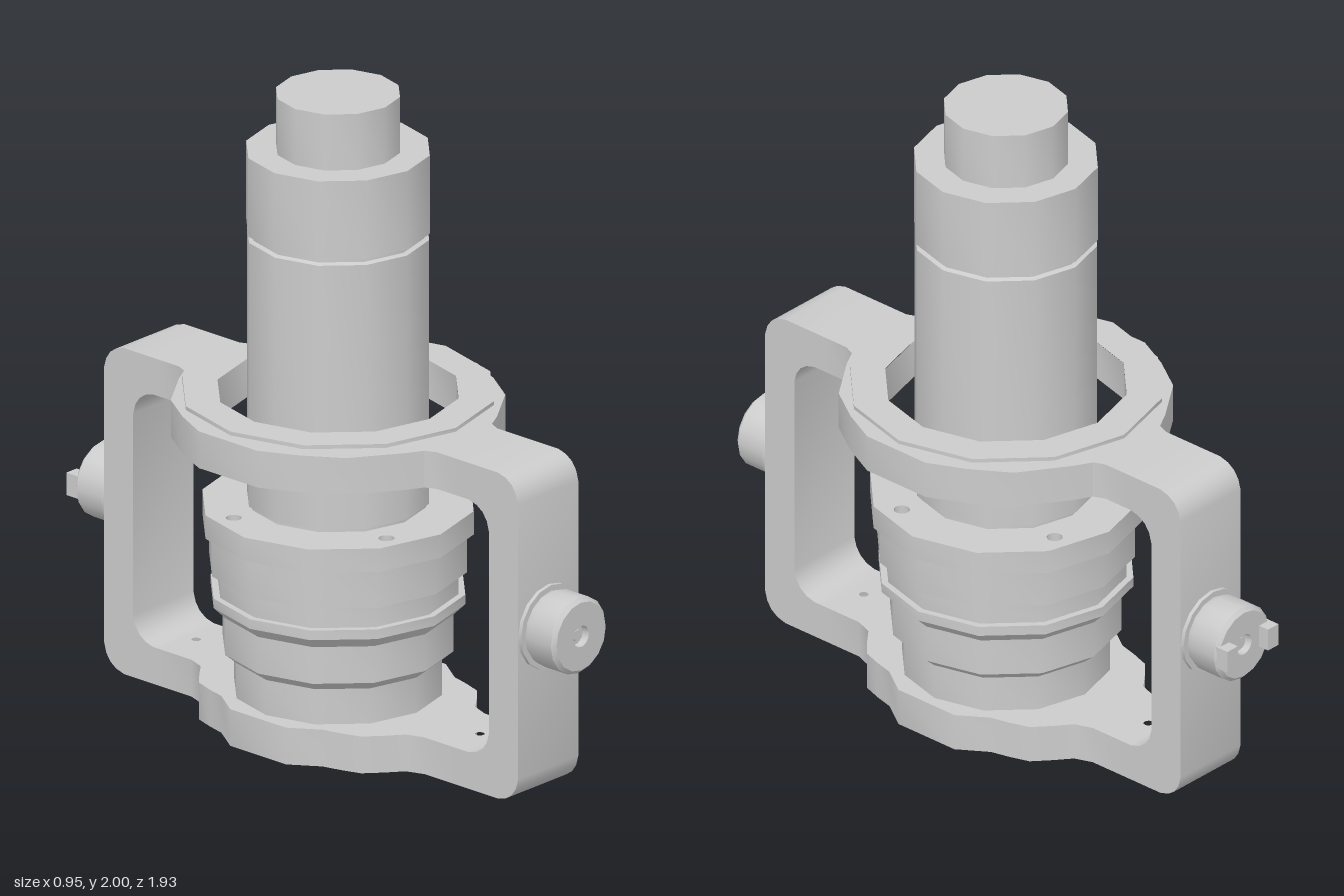
import * as THREE from 'three';
import { toCreasedNormals } from 'three/addons/utils/BufferGeometryUtils.js';

const material = new THREE.MeshStandardMaterial({ color: 0xcccccc });
const ARM = 0.13; // half width of the yoke arms

function add(parent, name, geometry) {
  const mesh = new THREE.Mesh(toCreasedNormals(geometry, 0.6), material);
  mesh.name = name;
  parent.add(mesh);
  return mesh;
}

// Profile points are [radius, height], running so that the outside faces out
function lathe(points, sides) {
  return new THREE.LatheGeometry(points.map(([r, y]) => new THREE.Vector2(r, y)), sides);
}

function circle(x, y, r) {
  return new THREE.Path().absarc(x, y, r, 0, Math.PI * 2, true);
}

// Horizontal plate extruded upwards from y
function plate(shape, y, height) {
  return new THREE.ExtrudeGeometry(shape, { depth: height, bevelEnabled: false, curveSegments: 6 })
    .rotateX(-Math.PI / 2).translate(0, y, 0);
}

// Mirrors one quadrant of an outline into all four
function mirroredOutline(q) {
  const back = [...q].reverse();
  const points = [
    ...q, ...back.map(([x, y]) => [x, -y]),
    ...q.map(([x, y]) => [-x, -y]), ...back.map(([x, y]) => [-x, y]),
  ];
  return new THREE.Shape(points.map(([x, y]) => new THREE.Vector2(x, y)));
}

// C-shaped end of the yoke, drawn in the plane of the arm
function bracket(reach) {
  const t = 0.115, r = 0.08, start = 0.6, lo = 0.025, hi = 1.045, inner = reach - t;
  const s = new THREE.Shape();
  s.moveTo(start, lo);
  s.lineTo(reach - r, lo);
  s.quadraticCurveTo(reach - 0.01, lo + 0.01, reach, lo + r);
  s.lineTo(reach, hi - r);
  s.quadraticCurveTo(reach - 0.01, hi - 0.01, reach - r, hi);
  s.lineTo(start, hi);
  s.lineTo(start, hi - t);
  s.lineTo(inner - r, hi - t);
  s.quadraticCurveTo(inner - 0.01, hi - t - 0.01, inner, hi - t - r);
  s.lineTo(inner, lo + t + r);
  s.quadraticCurveTo(inner - 0.01, lo + t + 0.01, inner - r, lo + t);
  s.lineTo(start, lo + t);
  return new THREE.ExtrudeGeometry(s, { depth: ARM * 2, bevelEnabled: false, curveSegments: 4 })
    .translate(0, 0, -ARM).rotateY(-Math.PI / 2);
}

// Pivot pin: washer, chamfered head and a centre recess, pointing along +z
function pin(length) {
  return lathe([
    [0.13, -0.01], [0.13, 0.012], [0.112, 0.012], [0.118, 0.03], [0.118, length - 0.012],
    [0.106, length], [0.033, length], [0.033, length - 0.025], [0.018, length - 0.025],
    [0.018, length - 0.012], [0, length - 0.012],
  ], 16).rotateX(Math.PI / 2);
}

export function createModel() {
  const model = new THREE.Group();

  // Central stepped column with a pocket in its foot
  const column = new THREE.Group();
  column.name = 'column';
  model.add(column);
  add(column, 'columnBody', lathe([
    [0, 0.2], [0.115, 0.2], [0.115, 0.012], [0.14, 0.012], [0.14, 0.004], [0.19, 0.004],
    [0.195, 0.02], [0.195, 0.14],
    [0.31, 0.14], [0.31, 0.25], [0.345, 0.28], [0.345, 0.395], [0.38, 0.43], [0.38, 0.46],
    [0.36, 0.46], [0.36, 0.53], [0.385, 0.53], [0.385, 0.65], [0.262, 0.65], [0.262, 0.735],
    [0.272, 0.735], [0.272, 1.56], [0.258, 1.565], [0.258, 1.575], [0.274, 1.58],
    [0.274, 1.825], [0.185, 1.825], [0.185, 2], [0, 2],
  ], 12));

  // Flange with four holes
  const flange = new THREE.Shape();
  for (let i = 0; i < 12; i++) {
    const a = i * Math.PI / 6;
    flange[i ? 'lineTo' : 'moveTo'](Math.cos(a) * 0.405, Math.sin(a) * 0.405);
  }
  flange.holes.push(circle(0, 0, 0.26));
  for (let i = 0; i < 4; i++) {
    const a = 1.175 + i * Math.PI / 2;
    flange.holes.push(circle(Math.cos(a) * 0.335, Math.sin(a) * 0.335, 0.024));
  }
  add(column, 'flange', plate(flange, 0.65, 0.073));

  // Yoke: upper ring, lower plate and the two arms
  const yoke = new THREE.Group();
  yoke.name = 'yoke';
  model.add(yoke);
  const upper = mirroredOutline([
    [ARM, 0.6], [ARM, 0.51], [0.145, 0.475], [0.2, 0.445], [0.345, 0.345], [0.42, 0.23], [0.475, 0.115],
  ]);
  upper.holes.push(circle(0, 0, 0.385));
  add(yoke, 'upperRing', plate(upper, 0.93, 0.115));

  const lower = mirroredOutline([
    [ARM, 0.6], [ARM, 0.46], [0.15, 0.405], [0.2, 0.365], [0.25, 0.32], [0.27, 0.26], [0.285, 0.2], [0.345, 0.11],
  ]);
  lower.holes.push(circle(0, 0, 0.19));
  for (let i = 0; i < 8; i++) {
    const a = i * Math.PI / 4;
    lower.holes.push(circle(Math.cos(a) * 0.25, Math.sin(a) * 0.25, 0.031));
  }
  for (const y of [-0.56, 0.56]) lower.holes.push(circle(0, y, 0.014));
  add(yoke, 'lowerPlate', plate(lower, 0.025, 0.115));

  add(yoke, 'frontArm', bracket(0.83));
  add(yoke, 'backArm', bracket(0.805).rotateY(Math.PI));

  // Collar seated in the upper ring
  add(model, 'collar', lathe([
    [0.36, 1.07], [0.36, 0.95], [0.385, 0.95], [0.385, 1.06], [0.465, 1.06], [0.465, 1.072], [0.36, 1.072],
  ], 12));

  // Pivot pins, the back one with two drive tabs
  add(model, 'frontPin', pin(0.13)).position.set(0, 0.55, 0.83);
  const backPin = new THREE.Group();
  backPin.name = 'backPin';
  backPin.position.set(0, 0.55, -0.805);
  backPin.rotation.y = Math.PI;
  model.add(backPin);
  add(backPin, 'pinHead', pin(0.132));
  for (const side of [-1, 1]) {
    add(backPin, 'driveTab', new THREE.BoxGeometry(0.045, 0.07, 0.05)).position.set(side * 0.088, 0, 0.142);
  }
  return model;
}
